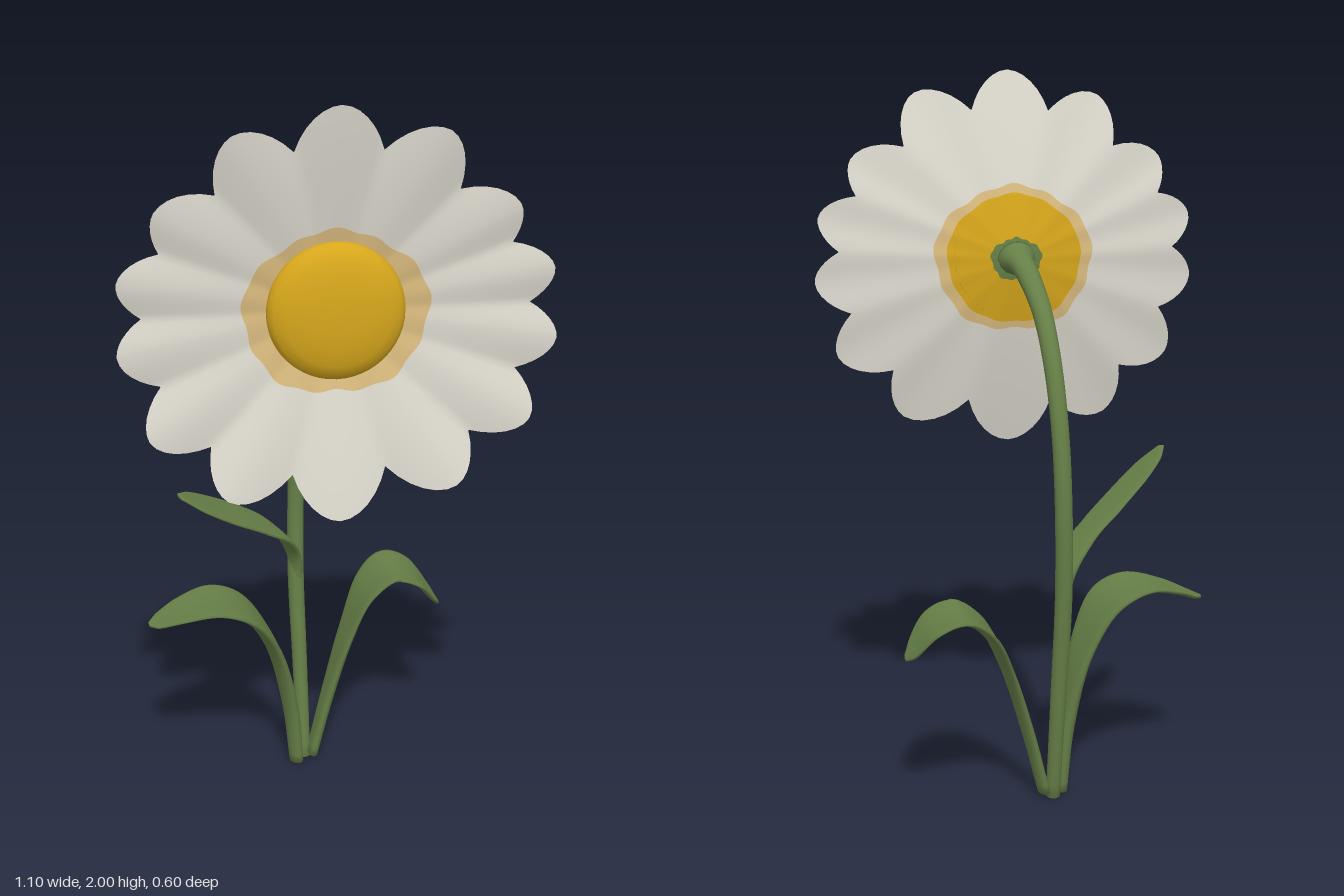
import * as THREE from 'three';

const mat = (name, color) => Object.assign(new THREE.MeshStandardMaterial({ color }), { name });
const V = (x, y, z) => new THREE.Vector3(x, y, z);
const HEAD_Y = 1.48;

// Petal tips: [angle in degrees, radius], counterclockwise
const TIPS = [[-173, 0.555], [-149, 0.56], [-122, 0.544], [-90, 0.535], [-56, 0.548], [-29.7, 0.564], [-7, 0.555],
  [12, 0.55], [31.7, 0.523], [59.8, 0.527], [90, 0.52], [120, 0.524], [148, 0.53], [168, 0.557]];
const STEPS = 12;

// Outline samples: angle, edge radius and ripple (1 on a petal ridge, -1 in a valley)
function petalOutline() {
  const out = [];
  TIPS.forEach(([a0, r0], i) => {
    let [a1, r1] = TIPS[(i + 1) % TIPS.length];
    if (a1 < a0) a1 += 360;
    const valley = (r0 + r1) / 2 * (1 - 0.0064 * (a1 - a0));
    for (let k = 0; k < STEPS; k++) {
      const t = k / STEPS, s = Math.abs(2 * t - 1);
      const tip = t < 0.5 ? r0 : r1;
      out.push({
        a: THREE.MathUtils.degToRad(a0 + (a1 - a0) * t),
        R: valley + (tip - valley) * (1 - Math.pow(1 - s, 1.8)),
        ripple: Math.cos(2 * Math.PI * t),
      });
    }
  });
  return out;
}

// One side of the flower head; bands are [outer radius function, rows], one material each
function headSheet(bands, front) {
  const outline = petalOutline(), n = outline.length;
  const pos = [], idx = [], geo = new THREE.BufferGeometry();
  const addRow = (radius) => outline.forEach((o) => {
    const r = radius(o), f = Math.min(r / o.R, 1);
    const z = 0.165 + 0.125 * Math.pow(r / 0.55, 1.2) + 0.008 * o.ripple * f * f * (1 - 0.5 * f)
      + (front ? 0.02 * (1 - f ** 3) : 0);
    pos.push(r * Math.cos(o.a), HEAD_Y + r * Math.sin(o.a), z);
  });
  let inner = () => 0.002, row = 0;
  addRow(inner);
  bands.forEach(([outer, rows], b) => {
    const start = idx.length, from = inner;
    for (let k = 1; k <= rows; k++, row++) {
      addRow((o) => THREE.MathUtils.lerp(from(o), outer(o), k / rows));
      for (let j = 0; j < n; j++) {
        const p = row * n + j, q = row * n + (j + 1) % n;
        if (front) idx.push(p, p + n, q, q, p + n, q + n);
        else idx.push(p, q, p + n, q, q + n, p + n);
      }
    }
    geo.addGroup(start, idx.length - start, b);
    inner = outer;
  });
  geo.setAttribute('position', new THREE.Float32BufferAttribute(pos, 3));
  geo.setIndex(idx);
  geo.computeVertexNormals();
  return geo;
}

// Elliptical section swept along stations [x, y, z, half width, half thickness]
function sweep(stations, across, cup = 0, rings = 48, sides = 14) {
  const path = new THREE.CatmullRomCurve3(stations.map((s) => V(s[0], s[1], s[2])));
  const size = new THREE.CatmullRomCurve3(stations.map((s, i) => V(s[3], s[4], i * 0.1)));
  const pos = [], idx = [];
  for (let i = -1; i <= rings + 1; i++) {
    const t = THREE.MathUtils.clamp(i / rings, 0, 1);
    const end = i < 0 || i > rings ? 0 : 1;
    const c = path.getPoint(t), T = path.getTangent(t), s = size.getPoint(t);
    const w = across.clone().addScaledVector(T, -across.dot(T)).normalize();
    const n = T.clone().cross(w);
    for (let j = 0; j < sides; j++) {
      const a = (j / sides) * Math.PI * 2, ca = Math.cos(a);
      const p = c.clone().addScaledVector(w, end * ca * s.x)
        .addScaledVector(n, end * Math.sin(a) * s.y + cup * s.x * (ca * ca - 0.5) * end);
      pos.push(p.x, p.y, p.z);
    }
  }
  for (let i = 0; i < rings + 2; i++) {
    for (let j = 0; j < sides; j++) {
      const p = i * sides + j, q = i * sides + (j + 1) % sides;
      idx.push(p, q, p + sides, q, q + sides, p + sides);
    }
  }
  const geo = new THREE.BufferGeometry();
  geo.setAttribute('position', new THREE.Float32BufferAttribute(pos, 3));
  geo.setIndex(idx);
  geo.computeVertexNormals();
  return geo;
}

export function createModel() {
  const group = new THREE.Group();
  const white = mat('petal white', 0xdedbd0);
  const pale = mat('pale yellow', 0xdcbd80);
  const yellow = mat('yellow', 0xd8a81c);
  const green = mat('leaf green', 0x667f47);
  const add = (name, geo, material) => {
    const mesh = new THREE.Mesh(geo, material);
    mesh.name = name;
    group.add(mesh);
  };

  // Flower head: front and back sheets meeting at the petal edge
  const edge = (o) => o.R;
  const ragged = (r, k) => (o) => r + k * (Math.cos(2 * o.a) + 0.4 * Math.sin(5 * o.a) + 0.3 * Math.sin(13 * o.a));
  add('petalsFront', headSheet([[() => 0.16, 2], [ragged(0.222, 0.014), 3], [edge, 14]], [yellow, pale, white]), 0);
  group.children[0].material = [yellow, pale, white];
  add('petalsBack', headSheet([[ragged(0.065, 0.007), 3], [ragged(0.185, 0.006), 4],
    [ragged(0.213, 0.012), 2], [edge, 14]], false), [green, yellow, pale, white]);

  // Cushion in the middle of the flower
  const profile = [[0.172, 0.195], [0.177, 0.215], [0.174, 0.232], [0.162, 0.248], [0.135, 0.262],
    [0.09, 0.271], [0.045, 0.275], [0, 0.276]].map(([r, h]) => new THREE.Vector2(r, h));
  const cushion = new THREE.LatheGeometry(profile, 48);
  cushion.rotateX(Math.PI / 2).translate(0, HEAD_Y + 0.005, 0);
  add('cushion', cushion, yellow);

  // Stem arching forward to the back of the head
  add('stem', sweep([
    [-0.035, 0.005, -0.115, 0.02, 0.02], [-0.04, 0.3, -0.15, 0.022, 0.022], [-0.046, 0.6, -0.182, 0.024, 0.024],
    [-0.042, 0.85, -0.194, 0.024, 0.024], [-0.037, 1.05, -0.175, 0.024, 0.024], [-0.03, 1.22, -0.122, 0.025, 0.025],
    [-0.022, 1.35, -0.04, 0.027, 0.026], [-0.012, 1.43, 0.055, 0.031, 0.028],
    [-0.004, 1.47, 0.13, 0.036, 0.031], [0, 1.482, 0.178, 0.055, 0.05],
  ], V(1, 0, 0), 0, 64));

  // Three leaves
  add('rightLeaf', sweep([
    [-0.06, 0.01, -0.09, 0.03, 0.02], [-0.078, 0.2, -0.085, 0.042, 0.022], [-0.13, 0.41, -0.07, 0.075, 0.018],
    [-0.21, 0.54, -0.045, 0.11, 0.014], [-0.3, 0.578, -0.035, 0.108, 0.011], [-0.4, 0.56, -0.03, 0.08, 0.009],
    [-0.465, 0.535, -0.03, 0.045, 0.008], [-0.488, 0.528, -0.03, 0.012, 0.006],
  ], V(0.1, 0, 1), 0.12));
  add('leftLeaf', sweep([
    [-0.012, 0.02, -0.105, 0.035, 0.016], [0.035, 0.2, -0.115, 0.045, 0.016], [0.1, 0.4, -0.135, 0.07, 0.014],
    [0.165, 0.525, -0.165, 0.1, 0.012], [0.24, 0.575, -0.185, 0.115, 0.01], [0.31, 0.55, -0.182, 0.112, 0.009],
    [0.36, 0.49, -0.175, 0.075, 0.008], [0.382, 0.46, -0.17, 0.02, 0.006],
  ], V(0, 0, -1), 0.12));
  add('upperLeaf', sweep([
    [-0.046, 0.52, -0.175, 0.012, 0.012], [-0.054, 0.65, -0.168, 0.03, 0.014], [-0.1, 0.735, -0.135, 0.058, 0.011],
    [-0.18, 0.8, -0.088, 0.072, 0.009], [-0.28, 0.868, -0.018, 0.07, 0.008], [-0.35, 0.917, 0.034, 0.052, 0.007],
    [-0.395, 0.95, 0.066, 0.015, 0.005],
  ], V(0.62, -0.42, 0.78), 0.04));

  // Front sheet faces +z; everything green shares one material
  group.children[0].geometry.name = 'petals';
  group.children.forEach((m) => { if (/stem|Leaf/.test(m.name)) m.material = green; });
  return group;
}
